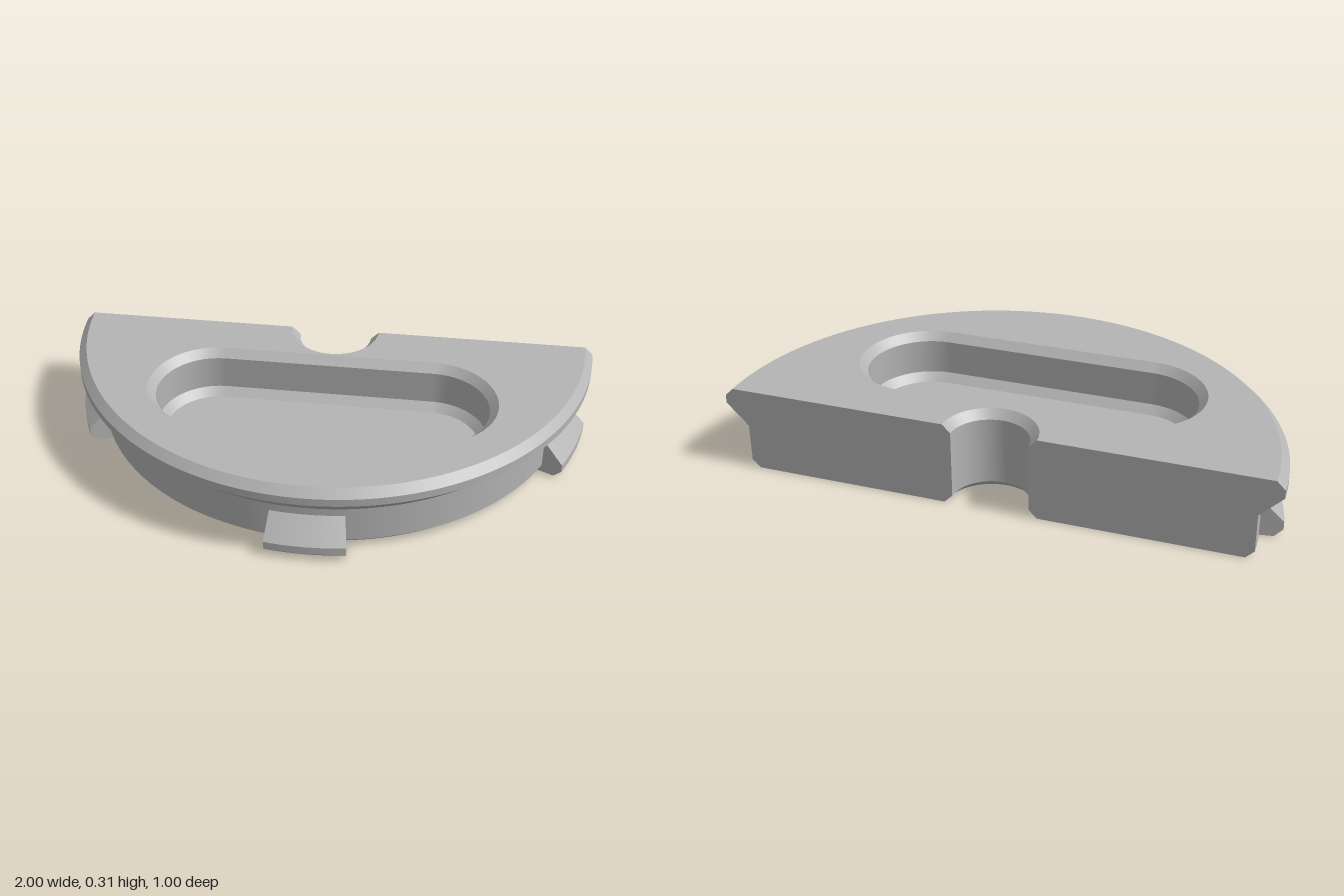
import * as THREE from 'three';
import { mergeGeometries } from 'three/addons/utils/BufferGeometryUtils.js';

const HALF = Math.PI / 2;
const grey = new THREE.MeshStandardMaterial({ color: 0xb4b4b4 });
grey.name = 'grey';

const vec = ([x, y]) => new THREE.Vector2(x, y);

// Revolve each profile span on its own, so edges between spans stay sharp
function revolve(profile, from, to, segments) {
  const spans = [];
  for (let i = 0; i < profile.length - 1; i++) {
    spans.push(new THREE.LatheGeometry([vec(profile[i]), vec(profile[i + 1])], segments, from, to - from));
  }
  return mergeGeometries(spans);
}

// Flat cross-section standing at a given angle, facing the start or end of a sweep
function section(profile, angle, atEnd) {
  const sign = atEnd ? -1 : 1;
  const shape = new THREE.Shape(profile.map(([r, y]) => new THREE.Vector2(sign * r, y)));
  return new THREE.ShapeGeometry(shape).rotateY(angle - HALF + (atEnd ? Math.PI : 0));
}

// Half disc outline with a round notch in the straight edge
function halfDisc(outer, inner) {
  const shape = new THREE.Shape();
  shape.absarc(0, 0, outer, Math.PI, 2 * Math.PI, false);
  shape.lineTo(inner, 0);
  shape.absarc(0, 0, inner, 2 * Math.PI, Math.PI, true);
  shape.closePath();
  return shape;
}

// Rounded slot outline as [x, z] points
const SLOT_Z = 0.43, SLOT_HALF = 0.4, ARC = 24;
function slotOutline(r) {
  const points = [];
  for (const side of [1, -1]) {
    for (let i = 0; i <= ARC; i++) {
      const t = -HALF + (Math.PI * i) / ARC;
      points.push([side * (SLOT_HALF + r * Math.cos(t)), SLOT_Z + side * r * Math.sin(t)]);
    }
  }
  return points;
}

// Inward-facing band between two slot outlines
function slotBand([r0, y0], [r1, y1]) {
  const upper = slotOutline(r0), lower = slotOutline(r1);
  const n = upper.length, position = [], index = [];
  upper.forEach(([x, z]) => position.push(x, y0, z));
  lower.forEach(([x, z]) => position.push(x, y1, z));
  for (let i = 0; i < n; i++) {
    const j = (i + 1) % n;
    index.push(i, n + i, j, j, n + i, n + j);
  }
  const geometry = new THREE.BufferGeometry();
  geometry.setAttribute('position', new THREE.Float32BufferAttribute(position, 3));
  geometry.setIndex(index);
  geometry.computeVertexNormals();
  return geometry;
}

export function createModel() {
  const model = new THREE.Group();
  model.name = 'halfDiscPlate';
  const body = new THREE.Group();
  body.name = 'body';
  body.position.z = -0.5; // centre of the disc lies on the straight edge
  model.add(body);

  const add = (name, geometry) => {
    const mesh = new THREE.Mesh(geometry, grey);
    mesh.name = name;
    body.add(mesh);
  };

  // Flared rim and notch
  const rim = [[0.89, 0], [0.92, 0.03], [0.92, 0.17], [1, 0.25], [1, 0.28], [0.97, 0.31]];
  const notch = [[0.17, 0.31], [0.14, 0.28], [0.14, 0.03], [0.17, 0]];
  add('rim', revolve(rim, -HALF, HALF, 96));
  add('notch', revolve(notch, -HALF, HALF, 32));

  // Straight back, one face on each side of the notch
  add('backRight', section([...rim, ...notch], -HALF, false));
  add('backLeft', section([...rim, ...notch], HALF, true));

  // Top face with the slot opening, and underside
  const slot = [[0.25, 0.31], [0.22, 0.28], [0.22, 0.15], [0.19, 0.12]];
  const top = halfDisc(0.97, 0.17);
  top.holes.push(new THREE.Path(slotOutline(slot[0][0]).map(([x, z]) => new THREE.Vector2(x, -z))));
  add('topFace', new THREE.ShapeGeometry(top, 96).rotateX(-HALF).translate(0, 0.31, 0));
  add('underside', new THREE.ShapeGeometry(halfDisc(0.89, 0.17), 96).rotateX(-HALF).rotateZ(Math.PI));

  // Slot walls with bevels at lip and floor
  ['slotLip', 'slotWall', 'slotFloorBevel'].forEach((name, i) => add(name, slotBand(slot[i], slot[i + 1])));
  const floor = new THREE.Shape(slotOutline(slot[3][0]).map(([x, z]) => new THREE.Vector2(x, -z)));
  add('slotFloor', new THREE.ShapeGeometry(floor).rotateX(-HALF).translate(0, slot[3][1], 0));

  // Wedge lugs around the lower wall
  const lug = [[0.885, 0], [0.97, 0], [1, 0.03], [1, 0.06], [0.92, 0.14], [0.885, 0.14]];
  const lugs = { leftLug: 73, frontLug: 0.7, rightLug: -72.5 };
  for (const [name, degrees] of Object.entries(lugs)) {
    const from = THREE.MathUtils.degToRad(degrees - 8.4);
    const to = THREE.MathUtils.degToRad(degrees + 8.4);
    add(name, mergeGeometries([revolve(lug, from, to, 10), section(lug, from, false), section(lug, to, true)]));
  }
  return model;
}
